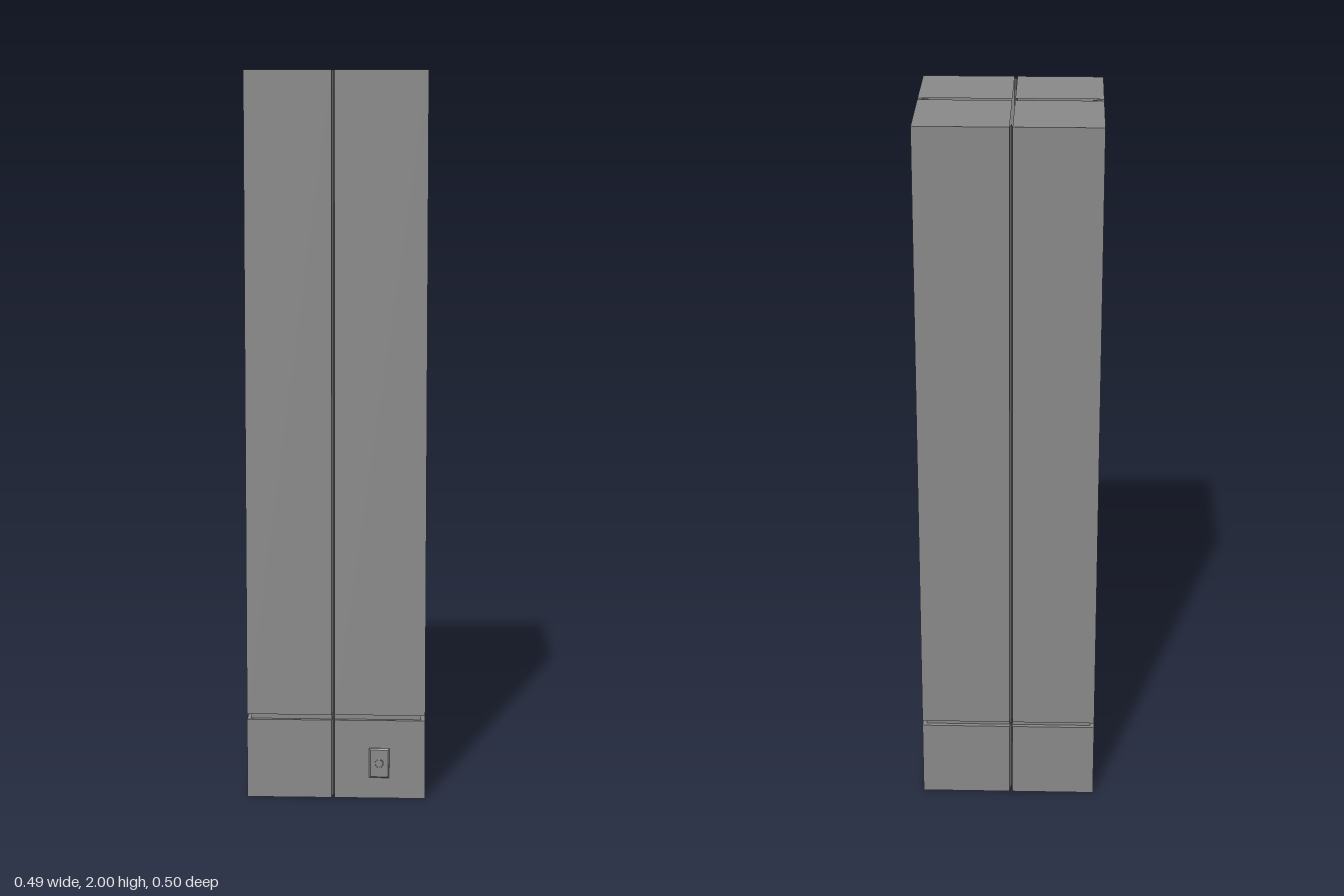
import * as THREE from 'three';

const TOP = 2, GROOVE = 0.03, INSET = 0.012;
const GAP_X = -0.008, GAP_Z = 0.007;

// Faceted surface through matching cross-sections, listed from bottom to top
function ribbon(sections) {
  const pos = [];
  for (let r = 0; r < sections.length - 1; r++) {
    const lo = sections[r], hi = sections[r + 1];
    for (let i = 0; i < lo.length - 1; i++) {
      pos.push(...lo[i], ...lo[i + 1], ...hi[i + 1], ...lo[i], ...hi[i + 1], ...hi[i]);
    }
  }
  const g = new THREE.BufferGeometry();
  g.setAttribute('position', new THREE.Float32BufferAttribute(pos, 3));
  g.computeVertexNormals();
  return g;
}

export function createModel() {
  const model = new THREE.Group();
  model.name = 'column';
  const grey = new THREE.MeshStandardMaterial({ color: 0x888888, side: THREE.DoubleSide });
  grey.name = 'plain grey';

  const add = (name, geometry, x = 0, y = 0, z = 0, parent = model) => {
    const m = new THREE.Mesh(geometry, grey);
    m.name = name;
    m.position.set(x, y, z);
    parent.add(m);
    return m;
  };

  // Four hollow corner shells, open below, with V grooves where they meet
  for (const sx of [-1, 1]) for (const sz of [-1, 1]) {
    const outX = sx * 0.247, outZ = sz > 0 ? 0.242 : -0.252;
    const inX = GAP_X + sx * 0.004, inZ = GAP_Z + sz * 0.008;
    const section = (y, inset) => {
      const X = outX - sx * inset, Z = outZ - sz * inset;
      const path = [
        [GAP_X, y, outZ - sz * GROOVE], [inX, y, Z], [X, y, Z],
        [X, y, inZ], [outX - sx * GROOVE, y, GAP_Z],
      ];
      return sx * sz > 0 ? path : path.reverse();
    };

    const corner = new THREE.Group();
    corner.name = (sz > 0 ? 'front' : 'back') + (sx > 0 ? 'Left' : 'Right') + 'Corner';
    model.add(corner);
    add('baseCladding', ribbon([section(0, 0), section(0.222, 0)]), 0, 0, 0, corner);
    add('shadowJoint', ribbon([
      section(0.222, 0), section(0.222, INSET), section(0.237, INSET), section(0.237, 0),
    ]), 0, 0, 0, corner);
    add('shaftCladding', ribbon([section(0.237, 0), section(TOP, 0)]), 0, 0, 0, corner);

    // Flat cap
    const cap = new THREE.PlaneGeometry(Math.abs(outX - inX), Math.abs(outZ - inZ));
    cap.rotateX(-Math.PI / 2);
    add('capPanel', cap, (outX + inX) / 2, TOP, (outZ + inZ) / 2, corner);
  }

  // Thin stays behind the side joints
  for (const x of [-0.1225, 0.1125]) {
    add('jointStay', new THREE.BoxGeometry(0.2, 0.006, 0.004), x, 0.23, 0.006);
  }

  // Socket plate with bevelled rim, inner panel and round centre
  const socket = new THREE.Group();
  socket.name = 'socket';
  socket.position.set(0.12, 0.101, 0.242);
  model.add(socket);
  const plate = new THREE.Shape();
  plate.moveTo(-0.024, -0.038);
  plate.lineTo(0.024, -0.038);
  plate.lineTo(0.024, 0.038);
  plate.lineTo(-0.024, 0.038);
  plate.closePath();
  add('socketPlate', new THREE.ExtrudeGeometry(plate, {
    depth: 0.002, bevelEnabled: true, bevelSize: 0.004, bevelThickness: 0.004, bevelSegments: 1,
  }), 0, 0, 0, socket);
  add('socketRing', new THREE.TorusGeometry(0.011, 0.0015, 6, 24), 0, 0, 0.0055, socket);

  return model;
}
